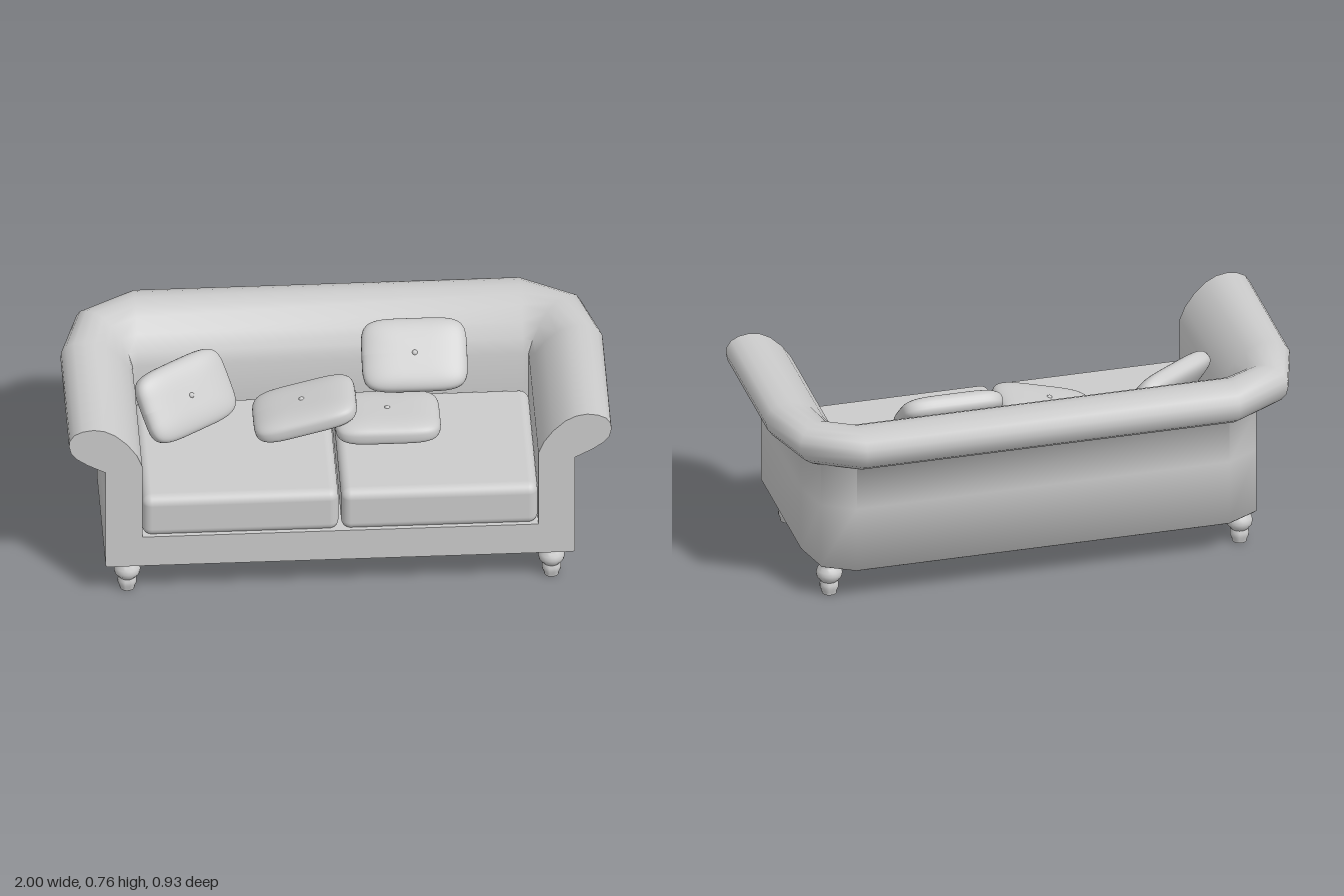
import * as THREE from 'three';
import { toCreasedNormals } from 'three/addons/utils/BufferGeometryUtils.js';
import { RoundedBoxGeometry } from 'three/addons/geometries/RoundedBoxGeometry.js';

const material = new THREE.MeshStandardMaterial({ color: 0xcccccc });
const FRONT = 0.462, INNER_X = 0.73, INNER_Z = -0.17;

// Cross-section of arm and back: [distance outwards from the inner face, height]
const PROFILE = [
  [0, 0.14], [0, 0.4], [0, 0.59], [0.02, 0.64], [0.055, 0.69], [0.1, 0.733], [0.14, 0.754], [0.18, 0.761],
  [0.22, 0.755], [0.25, 0.74], [0.267, 0.715], [0.27, 0.69], [0.262, 0.658], [0.242, 0.632],
  [0.2, 0.602], [0.135, 0.567], [0.135, 0.4], [0.135, 0.146], [0.129, 0.14],
];

function add(parent, name, geometry, x = 0, y = 0, z = 0) {
  const mesh = new THREE.Mesh(geometry, material);
  mesh.name = name;
  mesh.position.set(x, y, z);
  parent.add(mesh);
  return mesh;
}

// Sweeps the rolled cross-section along one arm, round the back and along the other arm
function frameGeometry() {
  // station: inner x, inner z, outward x, outward z
  const half = [
    [INNER_X, FRONT, 1, 0],
    [INNER_X, -0.1, 1, 0],
    [INNER_X, INNER_Z, 0.74, -0.6],
    [0.71, INNER_Z, 0, -1.09],
  ];
  const stations = [...half, ...half.map(([x, z, dx, dz]) => [-x, z, -dx, dz]).reverse()];
  const n = PROFILE.length, positions = [], index = [];
  for (const [x, z, dx, dz] of stations)
    for (const [d, y] of PROFILE) positions.push(x + dx * d, y, z + dz * d);
  for (let i = 0; i < stations.length - 1; i++) {
    for (let j = 0; j < n; j++) {
      const k = (j + 1) % n;
      const a = i * n + j, b = i * n + k, c = a + n, d = b + n;
      index.push(a, b, c, b, d, c);
    }
  }
  const g = new THREE.BufferGeometry();
  g.setAttribute('position', new THREE.Float32BufferAttribute(positions, 3));
  g.setIndex(index);
  return toCreasedNormals(g, 1.15);
}

// Flat front of an arm
function armFront(side) {
  return new THREE.ShapeGeometry(new THREE.Shape(
    PROFILE.map(([d, y]) => new THREE.Vector2(side * (INNER_X + d), y))));
}

// Seat cushion: rounded box with a slightly crowned top
function seatGeometry(w, h, d) {
  const g = new RoundedBoxGeometry(w, h, d, 5, 0.035);
  const p = g.attributes.position;
  for (let i = 0; i < p.count; i++) {
    const u = p.getX(i) / (w / 2), v = p.getZ(i) / (d / 2);
    if (p.getY(i) > 0) p.setY(i, p.getY(i) - 0.012 * Math.max(u * u, v * v));
  }
  return g;
}

// Throw pillow: sphere squared off in plan and flattened
function pillowGeometry(w, h, t) {
  const g = new THREE.SphereGeometry(1, 48, 24);
  g.rotateX(Math.PI / 2);
  const p = g.attributes.position;
  const pow = (v, e) => Math.sign(v) * Math.abs(v) ** e;
  for (let i = 0; i < p.count; i++) {
    const x = p.getX(i), y = p.getY(i), z = p.getZ(i);
    const r = Math.hypot(x, y);
    const c = r > 1e-6 ? x / r : 0, s = r > 1e-6 ? y / r : 0;
    const rim = r ** 0.55;
    p.setXYZ(i, pow(c, 0.42) * rim * w / 2, pow(s, 0.42) * rim * h / 2, pow(z, 0.7) * t / 2);
  }
  g.computeVertexNormals();
  return g;
}

export function createModel() {
  const sofa = new THREE.Group();
  sofa.name = 'sofa';

  // Rolled arms and back
  add(sofa, 'armsAndBack', frameGeometry());
  for (const side of [1, -1])
    add(sofa, side > 0 ? 'leftArmFront' : 'rightArmFront', armFront(side), 0, 0, FRONT);

  // Base with front rail
  const depth = FRONT - INNER_Z;
  add(sofa, 'base', new THREE.BoxGeometry(2 * INNER_X, 0.13, depth), 0, 0.205, (FRONT + INNER_Z) / 2);

  // Seat cushions
  for (const side of [1, -1])
    add(sofa, side > 0 ? 'leftSeatCushion' : 'rightSeatCushion',
      seatGeometry(0.724, 0.185, 0.63), side * 0.367, 0.355, 0.142);

  // Throw pillows: position, lean back, yaw, roll (degrees)
  const pillows = [
    ['rightPillow', [-0.545, 0.567, -0.005], 34, 35, 0],
    ['tiltedPillow', [-0.108, 0.525, 0.04], 90, 0, 15],
    ['flatPillow', [0.195, 0.492, 0.068], 90, 0, 0],
    ['backPillow', [0.305, 0.645, -0.107], 48, 0, 0],
  ];
  const rad = THREE.MathUtils.degToRad;
  for (const [name, pos, lean, yaw, roll] of pillows) {
    const pillow = new THREE.Group();
    pillow.name = name;
    pillow.position.set(...pos);
    pillow.rotation.set(-rad(lean), rad(yaw), rad(roll), 'ZYX');
    add(pillow, 'cushion', pillowGeometry(0.39, 0.275, 0.094));
    for (const s of [1, -1])
      add(pillow, 'button', new THREE.SphereGeometry(0.011, 12, 8), 0, 0, s * 0.043);
    sofa.add(pillow);
  }

  // Turned legs
  const legCurve = [
    [0, 0], [0.027, 0], [0.029, 0.012], [0.035, 0.026], [0.035, 0.04], [0.031, 0.052], [0.036, 0.058],
    [0.046, 0.07], [0.049, 0.084], [0.046, 0.098], [0.037, 0.11], [0.033, 0.117], [0.033, 0.15],
  ].map(([r, y]) => new THREE.Vector2(r, y));
  const leg = toCreasedNormals(new THREE.LatheGeometry(legCurve, 24), 0.9);
  for (const x of [0.782, -0.782])
    for (const z of [0.395, -0.19])
      add(sofa, z > 0 ? 'frontLeg' : 'backLeg', leg, x, 0, z);

  return sofa;
}
